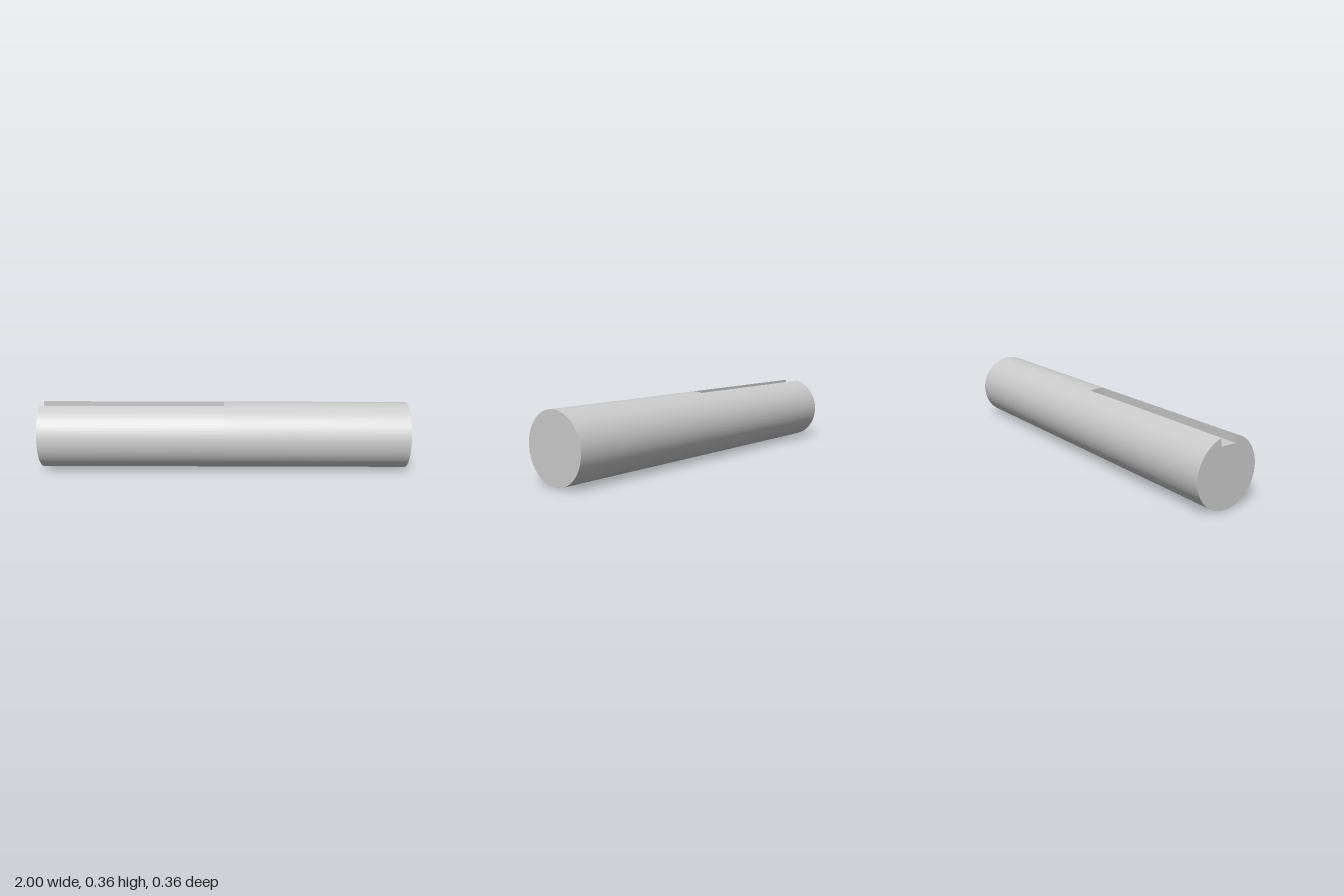
import * as THREE from 'three';
import { toCreasedNormals } from 'three/addons/utils/BufferGeometryUtils.js';

const RADIUS = 0.18;
const SLOT_HALF_WIDTH = 0.045;
const SLOT_FLOOR = 0.314;
const HALF_LENGTH = 1;
const SEGMENTS = 128;

export function createModel() {
  const material = new THREE.MeshStandardMaterial({ color: 0xcccccc });
  const shaft = new THREE.Group();
  shaft.name = 'keyedShaft';

  // Plain round half; its inner cap closes the end of the slot
  const solid = new THREE.Mesh(
    new THREE.CylinderGeometry(RADIUS, RADIUS, HALF_LENGTH, SEGMENTS).rotateZ(Math.PI / 2),
    material
  );
  solid.name = 'solidHalf';
  solid.position.set(HALF_LENGTH / 2, RADIUS, 0);

  // Slotted half: a round section with a rectangular keyway cut in the top
  const lip = Math.acos(SLOT_HALF_WIDTH / RADIUS);
  const section = new THREE.Shape();
  section.absarc(0, RADIUS, RADIUS, lip, Math.PI - lip, true);
  section.lineTo(-SLOT_HALF_WIDTH, SLOT_FLOOR);
  section.lineTo(SLOT_HALF_WIDTH, SLOT_FLOOR);
  section.closePath();
  const slottedGeometry = new THREE.ExtrudeGeometry(section, {
    depth: HALF_LENGTH, bevelEnabled: false, curveSegments: SEGMENTS,
  }).rotateY(Math.PI / 2);
  const slotted = new THREE.Mesh(toCreasedNormals(slottedGeometry, 0.5), material);
  slotted.name = 'slottedHalf';
  slotted.position.x = -HALF_LENGTH;

  shaft.add(solid, slotted);
  return shaft;
}
